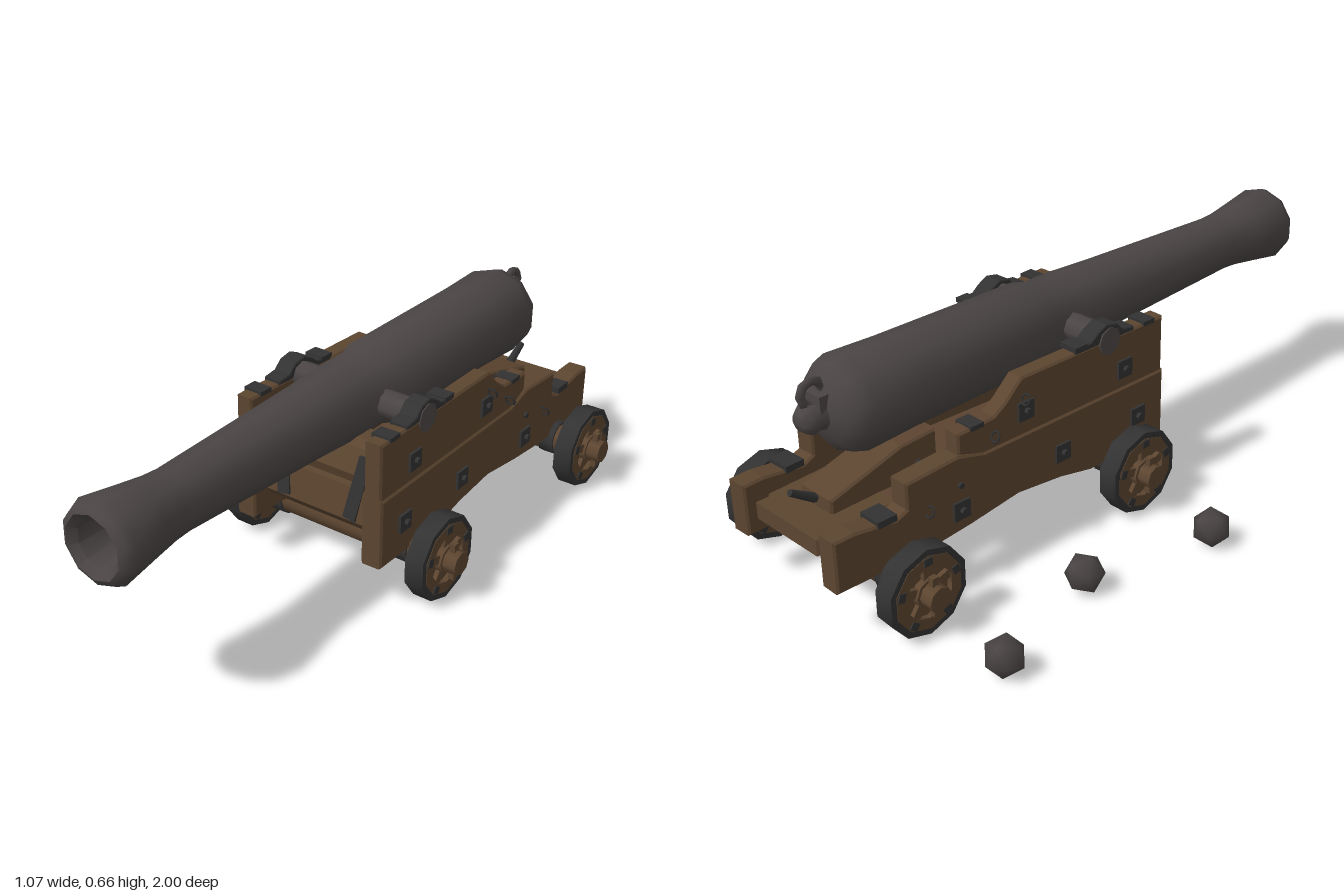
import * as THREE from 'three';
import { toCreasedNormals, mergeVertices } from 'three/addons/utils/BufferGeometryUtils.js';

const mat = (name, color) => {
  const m = new THREE.MeshStandardMaterial({ color });
  m.name = name;
  return m;
};

export function createModel() {
  const gunMetal = mat('gun metal', 0x4a4544);
  const wood = mat('oak wood', 0x5c4530);
  const iron = mat('black iron', 0x333232);

  const model = new THREE.Group();
  model.name = 'cannon';
  const carriage = new THREE.Group();
  carriage.name = 'gunAndCarriage';
  carriage.position.x = 0.13;
  model.add(carriage);

  const add = (parent, name, geo, material, x = 0, y = 0, z = 0) => {
    const m = new THREE.Mesh(geo, material);
    m.name = name;
    m.position.set(x, y, z);
    parent.add(m);
    return m;
  };
  const box = (parent, name, material, w, h, d, x, y, z) =>
    add(parent, name, new THREE.BoxGeometry(w, h, d), material, x, y, z);
  // cylinder lying along x
  const rod = (parent, name, material, r, len, x, y, z, sides = 9) =>
    add(parent, name, toCreasedNormals(new THREE.CylinderGeometry(r, r, len, sides).rotateZ(Math.PI / 2), 0.9), material, x, y, z);
  // side profile in (z, y), extruded along x and centred on x = 0
  const plank = (pts, width, bevel = 0.006) => {
    const shape = new THREE.Shape(pts.map(p => new THREE.Vector2(p[0], p[1])));
    const depth = width - 2 * bevel;
    const geo = new THREE.ExtrudeGeometry(shape, {
      depth, bevelEnabled: true, bevelSize: bevel, bevelOffset: -bevel, bevelThickness: bevel, bevelSegments: 1 });
    return geo.translate(0, 0, -depth / 2).rotateY(-Math.PI / 2);
  };

  // Barrel: breech to muzzle, then back down the bore
  const profile = [
    [0, -0.915], [0.025, -0.91], [0.045, -0.885], [0.04, -0.86], [0.045, -0.845], [0.09, -0.83],
    [0.125, -0.8], [0.138, -0.76], [0.132, -0.6], [0.126, -0.1], [0.114, -0.07], [0.114, 0.04],
    [0.106, 0.19], [0.087, 0.72], [0.09, 0.77], [0.1, 0.84], [0.119, 0.965],
    [0.108, 0.99], [0.09, 1.0], [0.068, 0.98], [0.062, 0.8], [0, 0.8],
  ].map(p => new THREE.Vector2(p[0], p[1]));
  const barrel = toCreasedNormals(new THREE.LatheGeometry(profile, 10).rotateX(Math.PI / 2), 0.9);
  add(carriage, 'barrel', barrel, gunMetal, 0, 0.525, 0);
  rod(carriage, 'trunnions', gunMetal, 0.042, 0.5, 0, 0.525, -0.03, 8);

  // Rope ring over the knob
  const ring = add(carriage, 'breechRing', new THREE.TorusGeometry(0.034, 0.013, 5, 8), gunMetal, 0, 0.592, -0.865);
  ring.rotation.y = Math.PI / 2;
  box(carriage, 'ringLug', gunMetal, 0.07, 0.05, 0.03, 0, 0.565, -0.85);

  // Cheeks with their ironwork, mirrored and slightly toed in at the rear
  const lower = plank([
    [0.19, 0.145], [0.19, 0.36], [-0.5, 0.36], [-0.59, 0.385], [-0.765, 0.375], [-0.765, 0.3],
    [-0.8, 0.285], [-0.93, 0.305], [-0.995, 0.305], [-0.995, 0.15], [-0.72, 0.145],
    [-0.55, 0.16], [-0.38, 0.182], [-0.22, 0.165], [-0.1, 0.14],
  ], 0.068);
  const upper = plank([
    [0.19, 0.35], [0.19, 0.53], [-0.36, 0.53], [-0.42, 0.475], [-0.46, 0.45],
    [-0.585, 0.445], [-0.585, 0.385], [-0.5, 0.35],
  ], 0.056);
  for (const side of [-1, 1]) {
    const cheek = new THREE.Group();
    cheek.name = side < 0 ? 'rightCheek' : 'leftCheek';
    cheek.position.x = side * 0.218;
    cheek.rotation.y = side * 0.027;
    carriage.add(cheek);
    add(cheek, 'lowerPlank', lower, wood);
    add(cheek, 'upperPlank', upper, wood);

    // trunnion cap
    add(cheek, 'trunnionCap', plank([
      [0.07, 0.525], [0.07, 0.538], [0.025, 0.545], [0, 0.57], [-0.04, 0.578], [-0.075, 0.562],
      [-0.1, 0.543], [-0.16, 0.54], [-0.16, 0.525],
    ], 0.058, 0.003), iron);
    // bands across the top edge
    for (const [z, y] of [[0.13, 0.53], [-0.14, 0.54], [-0.52, 0.445]])
      box(cheek, 'topBand', iron, 0.062, 0.014, 0.045, 0, y, z);
    box(cheek, 'rearBand', iron, 0.074, 0.02, 0.06, 0, 0.296, -0.83);
    // bolt plates and small rings on the outer face
    for (const [z, y, x] of [[0.03, 0.42, 0.03], [-0.35, 0.43, 0.03], [-0.59, 0.225, 0.036], [0.08, 0.25, 0.036], [-0.22, 0.25, 0.036]]) {
      box(cheek, 'boltPlate', iron, 0.012, 0.055, 0.055, side * x, y, z);
      rod(cheek, 'bolt', iron, 0.01, 0.022, side * (x + 0.006), y, z, 6);
    }
    for (const [z, y] of [[-0.36, 0.47], [-0.47, 0.4], [-0.7, 0.27]]) {
      const eye = add(cheek, 'sideRing', new THREE.TorusGeometry(0.016, 0.004, 4, 7), iron, side * 0.043, y, z);
      eye.rotation.x = 0.4;
    }
    // iron straps leaning on the front transom
    const strap = box(carriage, 'transomStrap', iron, 0.042, 0.19, 0.012, side * 0.13, 0.328, 0.127);
    strap.rotation.set(-0.2, 0, -side * 0.15);
  }

  // Transoms, bed and quoin between the cheeks
  add(carriage, 'frontTransomLower', plank([[0.12, 0.2], [0.145, 0.23], [0.13, 0.33], [0, 0.33], [0, 0.2]], 0.39), wood);
  add(carriage, 'frontTransomUpper', plank([[0.105, 0.33], [0.115, 0.36], [0.085, 0.43], [0.06, 0.448], [0, 0.448], [0, 0.33]], 0.39), wood);
  add(carriage, 'bed', plank([[0.04, 0.2], [0.04, 0.235], [-0.72, 0.265], [-0.98, 0.265], [-0.98, 0.215], [-0.72, 0.215]], 0.268), wood);
  box(carriage, 'rearTransom', wood, 0.35, 0.09, 0.2, 0, 0.205, -0.82);
  add(carriage, 'quoin', plank([[-0.52, 0.25], [-0.52, 0.375], [-0.64, 0.37], [-0.88, 0.305], [-0.88, 0.25]], 0.13), wood);
  const handle = add(carriage, 'quoinHandle', new THREE.CylinderGeometry(0.01, 0.014, 0.09, 6), iron, 0, 0.315, -0.92);
  handle.rotation.x = -1.0;
  rod(carriage, 'crossBolt', iron, 0.009, 0.49, 0, 0.3, -0.59, 6);

  // Axles and wheels
  const R = 0.125, W = 0.06, N = 10;
  const annulus = (outer, inner, depth) => {
    const poly = r => Array.from({ length: N }, (_, i) => {
      const a = (i + 0.5) / N * Math.PI * 2;
      return new THREE.Vector2(Math.cos(a) * r, Math.sin(a) * r);
    });
    const s = new THREE.Shape(poly(outer));
    s.holes.push(new THREE.Path(poly(inner)));
    const g = new THREE.ExtrudeGeometry(s, { depth, bevelEnabled: false });
    return toCreasedNormals(g.translate(0, 0, -depth / 2).rotateY(Math.PI / 2), 0.9);
  };
  const tire = annulus(R * 1.03, R * 0.88, W);
  const felloe = annulus(R * 0.885, R * 0.62, W * 1.06);

  for (const z of [0.005, -0.81]) {
    const axleSet = new THREE.Group();
    axleSet.name = z > -0.4 ? 'frontAxle' : 'rearAxle';
    axleSet.position.set(0, 0.13, z);
    carriage.add(axleSet);
    rod(axleSet, 'axleBeam', wood, 0.05, 0.55, 0, 0, 0, 10);
    rod(axleSet, 'axleArms', wood, 0.036, 0.804, 0, 0, 0, 8);
    for (const side of [-1, 1]) {
      rod(axleSet, 'axleBand', iron, 0.056, 0.05, side * 0.225, 0, 0, 10);
      box(axleSet, 'linchPin', wood, 0.018, 0.115, 0.02, side * 0.375, 0, 0);

      const wheel = new THREE.Group();
      wheel.name = 'wheel';
      wheel.position.x = side * 0.325;
      axleSet.add(wheel);
      add(wheel, 'tire', tire, iron);
      add(wheel, 'felloe', felloe, wood);
      rod(wheel, 'disc', wood, R * 0.7, W * 0.5, 0, 0, 0, N);
      rod(wheel, 'hub', wood, 0.045, W * 1.2, 0, 0, 0, 8);
      for (let i = 0; i < 5; i++) {
        const arm = new THREE.Group();
        arm.name = 'spokeSet';
        arm.rotation.x = i / 5 * Math.PI * 2;
        wheel.add(arm);
        box(arm, 'spoke', wood, W * 0.95, 0.06, 0.026, 0, 0.058, 0);
        for (const face of [-1, 1])
          box(arm, 'rimPlate', iron, 0.006, 0.022, 0.026, face * W * 0.54, 0.094, 0);
      }
    }
  }

  // Shot lying beside the carriage
  const ico = new THREE.IcosahedronGeometry(0.058, 0);
  ico.deleteAttribute('normal');
  ico.deleteAttribute('uv');
  const shot = mergeVertices(ico, 1e-4);
  shot.computeVertexNormals();
  [[-0.478, -0.79], [-0.376, -0.4], [-0.478, 0.005]].forEach(([x, z], i) => {
    add(model, 'cannonball', shot, gunMetal, x, 0.056, z).rotation.set(0.4 + i, i * 1.3, 0.3);
  });

  return model;
}
